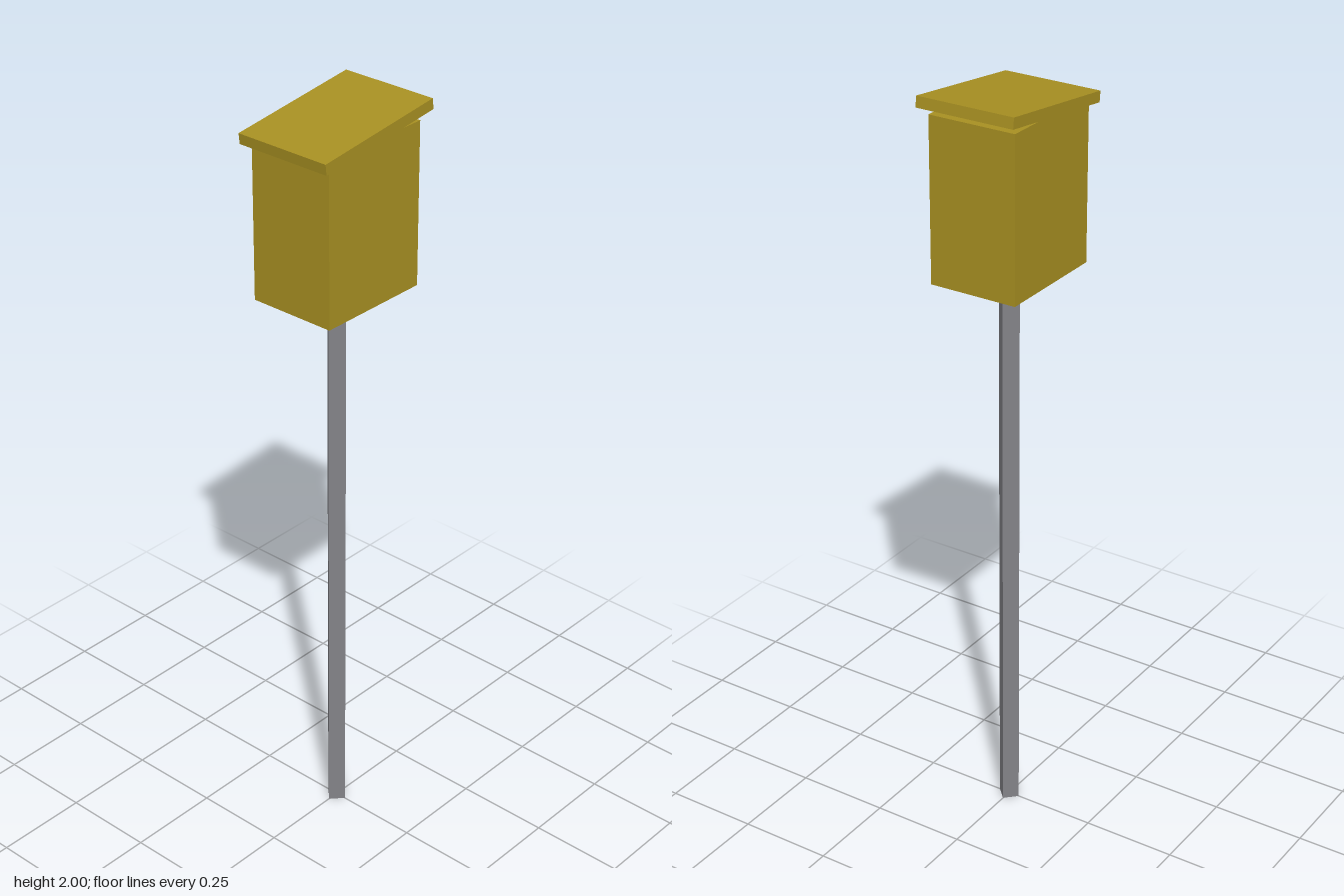
import * as THREE from 'three';

export function createModel() {
  const group = new THREE.Group();
  const wood = new THREE.MeshStandardMaterial({ name: 'ochreWood', color: 0xa89022 });
  const metal = new THREE.MeshStandardMaterial({ name: 'greyPost', color: 0x828287 });

  const addBox = (name, material, size, position) => {
    const mesh = new THREE.Mesh(new THREE.BoxGeometry(...size), material);
    mesh.name = name;
    mesh.position.set(...position);
    group.add(mesh);
    return mesh;
  };

  // Square post, turned so its corners face the front and sides
  const post = addBox('post', metal, [0.043, 1.525, 0.043], [0, 0.7625, 0]);
  post.rotation.y = Math.PI / 4;

  // Nesting box body
  addBox('boxBody', wood, [0.316, 0.425, 0.238], [-0.001, 1.7375, 0]);

  // Overhanging sloped roof board, higher on the +x side
  const roof = addBox('roof', wood, [0.373, 0.028, 0.267], [0, 1.964, 0]);
  roof.rotation.z = 0.12;

  return group;
}
